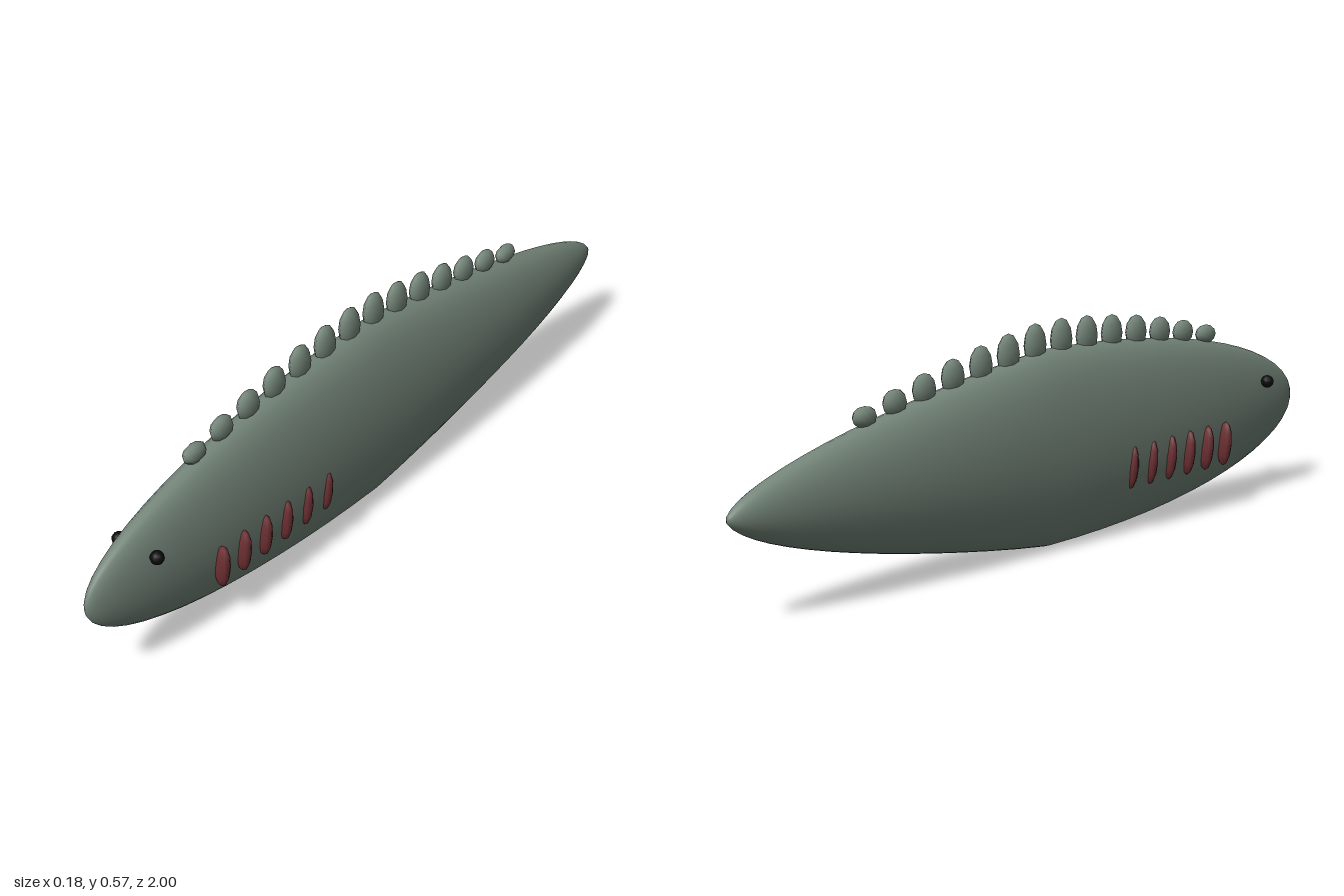
import * as THREE from 'three';
import { mergeVertices } from 'three/addons/utils/BufferGeometryUtils.js';

const HALF_W = 0.086, HALF_H = 0.248, MID_Y = 0.252;

// Half height of the body at z: rounded head, straighter taper to the tail
function halfHeight(z) {
  const t = Math.min(1, Math.abs(z));
  return HALF_H * (z >= 0 ? Math.sqrt(1 - t * t) : Math.pow(1 - Math.pow(t, 1.1), 0.6));
}

// Slim spindle with elliptical cross-sections, poles on the z axis
function bodyGeometry() {
  let geo = new THREE.SphereGeometry(1, 28, 32).rotateX(Math.PI / 2);
  const p = geo.attributes.position;
  for (let i = 0; i < p.count; i++) {
    const z = p.getZ(i);
    const r = Math.sqrt(Math.max(0, 1 - z * z));
    const k = r > 1e-4 ? halfHeight(z) / r : 0;
    p.setXYZ(i, p.getX(i) * HALF_W, MID_Y + p.getY(i) * k, z);
  }
  geo.deleteAttribute('uv');
  geo.deleteAttribute('normal');
  geo = mergeVertices(geo, 1e-5);
  geo.computeVertexNormals();
  return geo;
}

export function createModel() {
  const model = new THREE.Group();
  const skin = new THREE.MeshStandardMaterial({ color: 0x748579 });
  skin.name = 'grey green skin';
  const gillRed = new THREE.MeshStandardMaterial({ color: 0x6e3033 });
  gillRed.name = 'gill red';
  const eyeBlack = new THREE.MeshStandardMaterial({ color: 0x0a0a0a });
  eyeBlack.name = 'eye black';

  const body = new THREE.Mesh(bodyGeometry(), skin);
  body.name = 'body';
  model.add(body);

  const ball = new THREE.SphereGeometry(1, 8, 6);
  const eyeBall = new THREE.SphereGeometry(1, 10, 8);
  function ellipsoid(name, geo, mat, pos, size) {
    const mesh = new THREE.Mesh(geo, mat);
    mesh.name = name;
    mesh.position.set(...pos);
    mesh.scale.set(...size);
    model.add(mesh);
    return mesh;
  }

  // Row of knobs along the back, tallest in the middle
  const count = 14;
  for (let i = 0; i < count; i++) {
    const z = 0.627 - i * 0.094;
    const ry = 0.025 + 0.029 * Math.sin((Math.PI * i) / (count - 1));
    const y = MID_Y + halfHeight(z) + 0.017;
    ellipsoid('backKnob' + (i + 1), ball, skin, [0, y, z], [0.019, ry, 0.037]);
  }

  for (const side of [1, -1]) {
    const label = side > 0 ? 'left' : 'right';
    ellipsoid(label + 'Eye', eyeBall, eyeBlack, [side * 0.057, 0.315, 0.825], [0.017, 0.017, 0.017]);
    // Six gill slits, leaning outwards at the top
    for (let i = 0; i < 6; i++) {
      const gill = ellipsoid(label + 'Gill' + (i + 1), ball, gillRed,
        [side * 0.07, 0.177, 0.627 - i * 0.0755], [0.022, 0.06, 0.016]);
      gill.rotation.z = -side * 0.08;
    }
  }
  return model;
}
